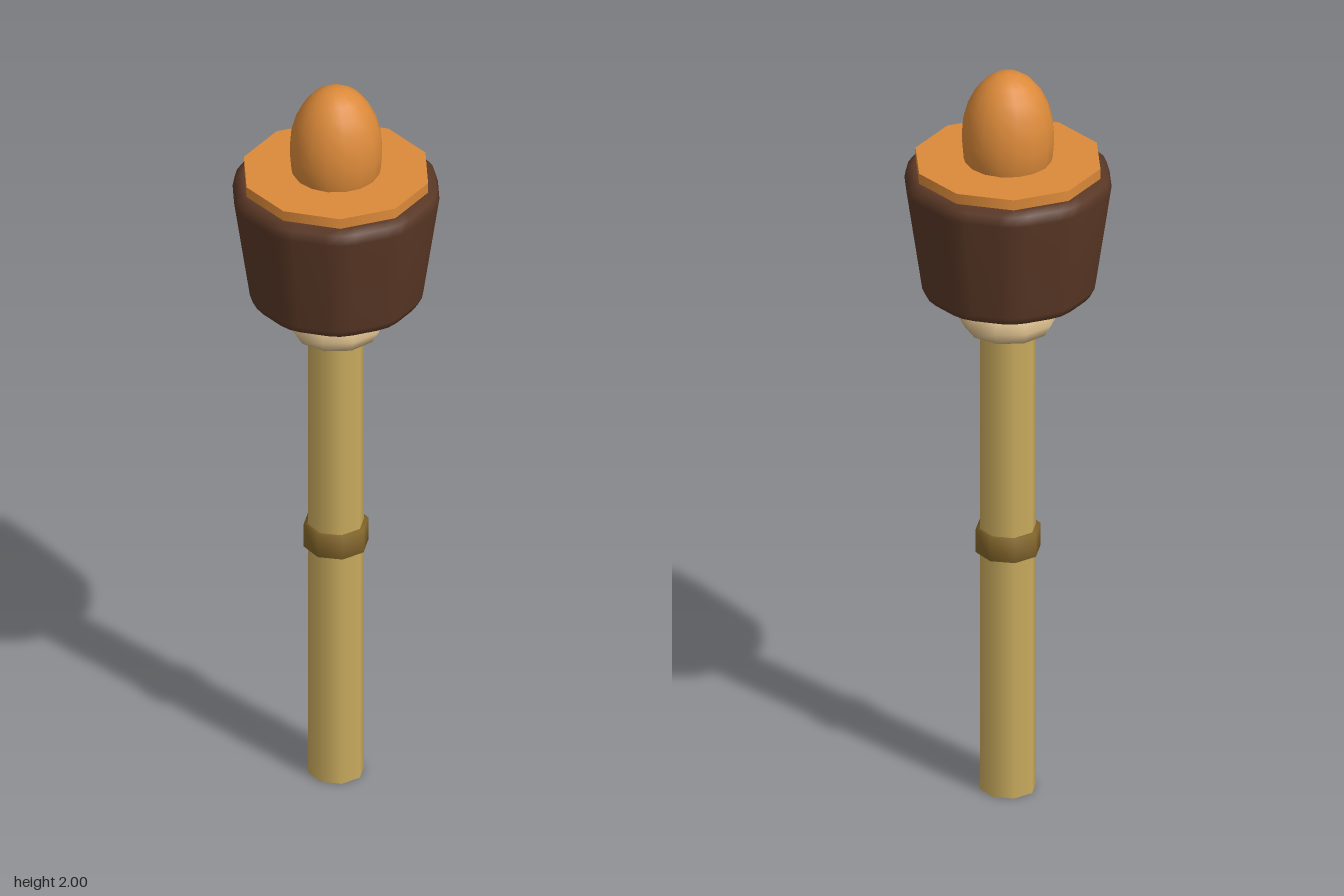
import * as THREE from 'three';

const material = (name, color) => {
  const m = new THREE.MeshStandardMaterial({ color });
  m.name = name;
  return m;
};

// Ten-sided solid with softened corners, lofted through [y, radius] rows.
function softDecagonLoft(rows) {
  const sides = 10, ringSize = sides * 3;
  const corner = [[-0.147, 0.966], [0, 0.978], [0.147, 0.966]]; // angle offset, radius factor
  const positions = [], index = [];
  for (const [y, radius] of rows) {
    for (let i = 0; i < sides; i++) {
      for (const [offset, factor] of corner) {
        const a = (i / sides) * Math.PI * 2 + offset;
        positions.push(Math.sin(a) * radius * factor, y, Math.cos(a) * radius * factor);
      }
    }
  }
  for (let r = 0; r < rows.length - 1; r++) {
    for (let j = 0; j < ringSize; j++) {
      const k = (j + 1) % ringSize;
      const a = r * ringSize + j, b = r * ringSize + k;
      const c = b + ringSize, d = a + ringSize;
      if (rows[r][1] > 0) index.push(a, b, c);
      if (rows[r + 1][1] > 0) index.push(a, c, d);
      else if (rows[r][1] > 0) continue;
    }
  }
  const geometry = new THREE.BufferGeometry();
  geometry.setAttribute('position', new THREE.Float32BufferAttribute(positions, 3));
  geometry.setIndex(index);
  geometry.computeVertexNormals();
  return geometry;
}

export function createModel() {
  const group = new THREE.Group();
  group.name = 'torch';

  const wood = material('pale wood', 0xc9ab5e);
  const binding = material('dark binding', 0x86682c);
  const ivory = material('cream collar', 0xd9bc8c);
  const bark = material('dark brown', 0x5a3826);
  const fire = material('orange', 0xdc8a3a);

  const add = (name, geometry, mat, y = 0) => {
    const mesh = new THREE.Mesh(geometry, mat);
    mesh.name = name;
    mesh.position.y = y;
    group.add(mesh);
    return mesh;
  };

  // Eight-sided pole
  add('pole', new THREE.CylinderGeometry(0.072, 0.072, 1.41, 8), wood, 0.705);

  // Binding around the middle of the pole
  const bandProfile = [[0.06, 0.665], [0.083, 0.665], [0.083, 0.73], [0.06, 0.73]]
    .map(([x, y]) => new THREE.Vector2(x, y));
  add('band', new THREE.LatheGeometry(bandProfile, 8), binding);

  // Hexagonal-section collar below the bowl
  add('collar', new THREE.TorusGeometry(0.09, 0.038, 6, 10).rotateX(Math.PI / 2), ivory, 1.324);

  // Tapered bowl with rounded rims
  add('bowl', softDecagonLoft([
    [1.39, 0], [1.39, 0.198], [1.398, 0.217], [1.42, 0.229],
    [1.695, 0.271], [1.72, 0.264], [1.732, 0.245], [1.732, 0],
  ]), bark);

  // Glowing plate on top of the bowl
  add('emberPlate', new THREE.CylinderGeometry(0.24, 0.24, 0.06, 10), fire, 1.73);

  // Egg-shaped flame
  add('flame', new THREE.SphereGeometry(0.118, 16, 12).scale(1, 0.18 / 0.118, 1), fire, 1.82);

  return group;
}
